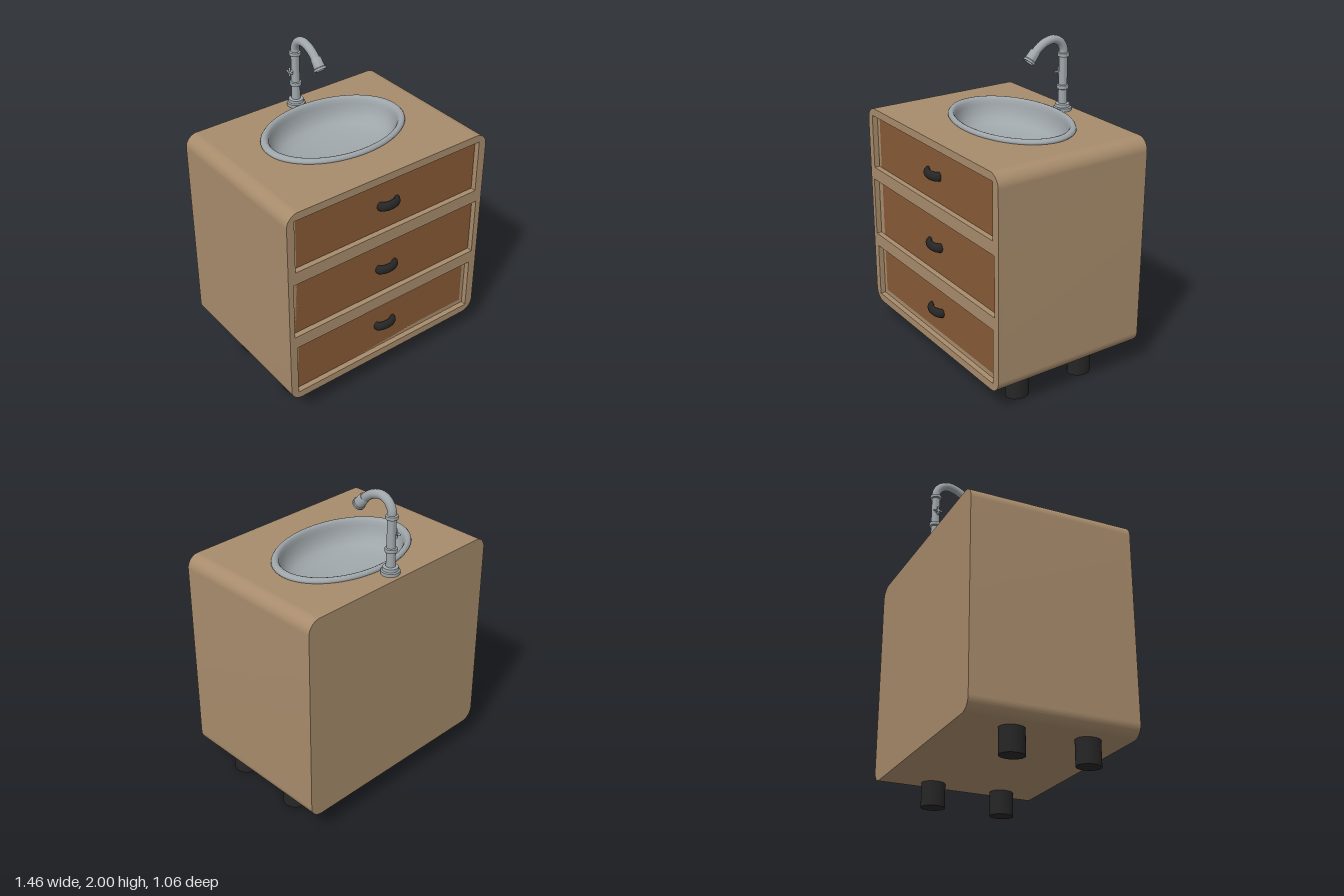
import * as THREE from 'three';
import { toCreasedNormals } from 'three/addons/utils/BufferGeometryUtils.js';

const mat = (color, side = THREE.FrontSide) => new THREE.MeshStandardMaterial({ color, side });
const V2 = (pts) => pts.map(([x, y]) => new THREE.Vector2(x, y));

export function createModel() {
  const model = new THREE.Group();
  const wood = mat(0xa88c6c);
  const drawerWood = mat(0x875a36);
  const black = mat(0x262626);
  const metal = mat(0x9fa6aa, THREE.DoubleSide);

  const add = (name, geo, material, parent = model) => {
    const mesh = new THREE.Mesh(geo, material);
    mesh.name = name;
    parent.add(mesh);
    return mesh;
  };
  const extrude = (shape, depth) => toCreasedNormals(
    new THREE.ExtrudeGeometry(shape, { depth, bevelEnabled: false, curveSegments: 24 }), 0.5);
  const rectPath = (P, x0, x1, y0, y1) =>
    new P(V2([[x0, y0], [x1, y0], [x1, y1], [x0, y1]]));

  // Cabinet outline: rounded corners, open along the top edge
  const W = 0.73, Y0 = 0.155, Y1 = 1.515, R = 0.08, X = W - R;
  const outline = () => {
    const s = new THREE.Shape();
    s.moveTo(-X, Y1);
    s.absarc(-X, Y1 - R, R, Math.PI / 2, Math.PI, false);
    s.absarc(-X, Y0 + R, R, Math.PI, Math.PI * 1.5, false);
    s.absarc(X, Y0 + R, R, Math.PI * 1.5, Math.PI * 2, false);
    s.absarc(X, Y1 - R, R, 0, Math.PI / 2, false);
    return s;
  };

  // Sides and bottom as one U-shaped shell
  const shell = outline();
  shell.lineTo(X, Y0 + R);
  shell.lineTo(-X, Y0 + R);
  shell.closePath();
  add('cabinetShell', extrude(shell, 0.99), wood).position.z = -0.51;

  const back = outline();
  back.closePath();
  add('backPanel', extrude(back, 0.02), wood).position.z = -0.53;

  // Worktop with an oval cut-out for the basin
  const top = rectPath(THREE.Shape, -X, X, -0.48, 0.51);
  const cut = new THREE.Path();
  cut.absellipse(0.02, 0.06, 0.455, 0.318, 0, Math.PI * 2, true);
  top.holes.push(cut);
  const worktop = add('worktop', extrude(top, 0.03), wood);
  worktop.rotation.x = -Math.PI / 2;
  worktop.position.y = Y1 - 0.03;

  // Front frame, recessed drawers and bowed handles
  const bays = [
    { x0: -0.68, x1: 0.675, y0: 1.115, y1: 1.465, gap: 0, hy: 1.285 },
    { x0: -0.695, x1: 0.69, y0: 0.645, y1: 1.03, gap: 0.015, hy: 0.825 },
    { x0: -0.68, x1: 0.675, y0: 0.205, y1: 0.56, gap: 0, hy: 0.38 },
  ];
  const frame = outline();
  frame.closePath();
  const handleCurve = new THREE.CatmullRomCurve3([
    [-0.062, 0.47], [-0.058, 0.49], [-0.035, 0.504], [0, 0.509],
    [0.035, 0.504], [0.058, 0.49], [0.062, 0.47],
  ].map(([x, z]) => new THREE.Vector3(x, 0, z)));
  const handleGeo = new THREE.TubeGeometry(handleCurve, 32, 0.021, 14, false);
  handleGeo.scale(1, 1.4, 1);
  bays.forEach(({ x0, x1, y0, y1, gap, hy }) => {
    frame.holes.push(rectPath(THREE.Path, x0, x1, y0, y1));
    const h = y1 - y0 - gap;
    add('drawer', new THREE.BoxGeometry(x1 - x0, h, 0.05), drawerWood)
      .position.set((x0 + x1) / 2, y0 + h / 2, 0.455);
    if (gap) {
      add('drawerGapBack', new THREE.BoxGeometry(x1 - x0, gap, 0.02), wood)
        .position.set((x0 + x1) / 2, y1 - gap / 2, 0.44);
    }
    add('handle', handleGeo, black).position.set(0.005, hy, 0);
  });
  add('frontFrame', extrude(frame, 0.035), wood).position.z = 0.48;

  // Oval legs
  const legGeo = new THREE.CylinderGeometry(1, 1, 0.165, 32);
  legGeo.scale(0.064, 1, 0.077);
  for (const x of [-0.556, 0.574]) {
    for (const z of [0.274, -0.196]) add('leg', legGeo, black).position.set(x, 0.0825, z);
  }

  // Basin: rolled rim and bowl, stretched to an oval
  const basinGeo = new THREE.LatheGeometry(V2([
    [0.99, 0], [1, 0.006], [0.995, 0.016], [0.975, 0.025], [0.945, 0.028], [0.915, 0.024],
    [0.892, 0.01], [0.88, -0.015], [0.862, -0.05], [0.82, -0.09], [0.74, -0.122],
    [0.6, -0.145], [0.3, -0.162], [0, -0.167],
  ]), 72);
  basinGeo.scale(0.48, 1, 0.335);
  add('basin', basinGeo, metal).position.set(0.02, Y1, -0.06);

  // Tap: turned column, bent spout, nozzle and side knob
  const tap = new THREE.Group();
  tap.name = 'tap';
  tap.position.set(0.02, 0, -0.45);
  model.add(tap);
  const turned = (pts) => toCreasedNormals(new THREE.LatheGeometry(V2(pts), 32), 0.7);
  add('tapColumn', turned([
    [0.057, 1.515], [0.057, 1.535], [0.048, 1.54], [0.046, 1.558], [0.028, 1.562],
    [0.027, 1.65], [0.036, 1.654], [0.038, 1.665], [0.036, 1.676], [0.027, 1.68],
    [0.026, 1.855], [0.036, 1.858], [0.038, 1.868], [0.036, 1.878], [0.026, 1.882],
  ]), metal, tap);

  const spout = new THREE.CatmullRomCurve3([
    [1.87, 0], [1.91, 0.003], [1.952, 0.03], [1.973, 0.078], [1.964, 0.135],
    [1.94, 0.18], [1.905, 0.22],
  ].map(([y, z]) => new THREE.Vector3(0, y, z)));
  add('spout', new THREE.TubeGeometry(spout, 40, 0.027, 20, false), metal, tap);

  const nozzle = add('nozzle', turned([
    [0, 0.01], [0.028, 0.01], [0.03, 0], [0.039, 0], [0.04, 0.014], [0.035, 0.018],
    [0.032, 0.075], [0.029, 0.08], [0, 0.08],
  ]), metal, tap);
  nozzle.position.set(0, 1.857, 0.262);
  nozzle.quaternion.setFromUnitVectors(
    new THREE.Vector3(0, 1, 0), new THREE.Vector3(0, 0.77, -0.64).normalize());

  const knob = new THREE.Group();
  knob.name = 'tapKnob';
  knob.position.set(0, 1.75, 0);
  tap.add(knob);
  const stem = add('knobStem', new THREE.CylinderGeometry(0.01, 0.012, 0.03, 16), metal, knob);
  stem.rotation.z = Math.PI / 2;
  stem.position.x = -0.035;
  for (const angle of [0, Math.PI / 2]) {
    const bar = add('knobBar', new THREE.CapsuleGeometry(0.007, 0.048, 4, 10), metal, knob);
    bar.rotation.x = angle;
    bar.position.x = -0.043;
  }
  return model;
}
